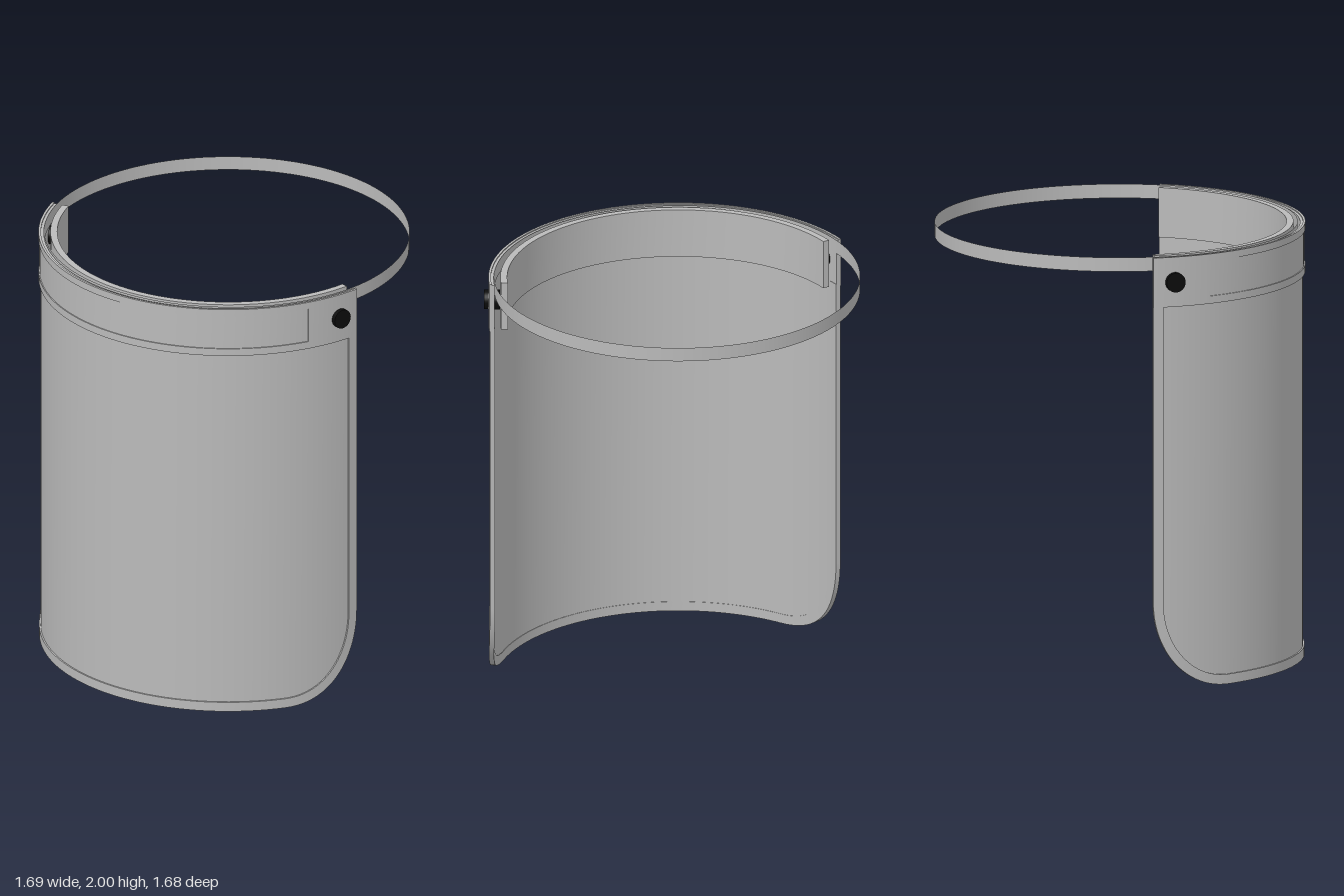
import * as THREE from 'three';

const CZ = -0.02;        // centre of curvature of the visor
const R = 0.85;          // outer radius of the visor sheet
const angleAt = (z, r = R) => Math.acos((z - CZ) / r);
const END = angleAt(0.165);

// Solid strip bent round the vertical axis; each pair is [angleA, yA, angleB, yB]
// for its lower and upper edges.
function bentStrip(pairs, rIn, rOut) {
  const pos = [], index = [];
  const at = (a, y, r) => [r * Math.sin(a), y, CZ + r * Math.cos(a)];
  const rows = pairs.map(([a, ya, b, yb]) => ({
    ai: at(a, ya, rIn), ao: at(a, ya, rOut), bi: at(b, yb, rIn), bo: at(b, yb, rOut),
  }));
  const ribbon = (low, high) => {
    const base = pos.length / 3;
    rows.forEach((row) => pos.push(...row[low], ...row[high]));
    for (let i = 0; i < rows.length - 1; i++) {
      const k = base + i * 2;
      index.push(k, k + 2, k + 3, k, k + 3, k + 1);
    }
  };
  const cap = (row, keys) => {
    const k = pos.length / 3;
    keys.forEach((key) => pos.push(...row[key]));
    index.push(k, k + 1, k + 2, k, k + 2, k + 3);
  };
  ribbon('ao', 'bo');
  ribbon('bi', 'ai');
  ribbon('ai', 'ao');
  ribbon('bo', 'bi');
  cap(rows[0], ['ai', 'ao', 'bo', 'bi']);
  cap(rows[rows.length - 1], ['ao', 'ai', 'bi', 'bo']);
  const geo = new THREE.BufferGeometry();
  geo.setAttribute('position', new THREE.Float32BufferAttribute(pos, 3));
  geo.setIndex(index);
  geo.computeVertexNormals();
  return geo;
}

// Plain curved wall between two angles and two heights
function wall(a0, a1, y0, y1, rIn, rOut, n = 64) {
  const pairs = [];
  for (let i = 0; i <= n; i++) {
    const a = a0 + (a1 - a0) * i / n;
    pairs.push([a, y0, a, y1]);
  }
  return bentStrip(pairs, rIn, rOut);
}

// Lower outline of the visor with rounded corners, paired with an inset copy
function outline(inset) {
  const left = [], bottom = [];
  const corner = 24, flat = 48;
  for (let i = 0; i <= corner; i++) {
    const t = (i / corner) * Math.PI / 2, c = Math.cos(t), s = Math.sin(t);
    left.push([
      -angleAt(0.5 - 0.335 * c), 0.4 - 0.4 * s,
      -angleAt(0.5 - (0.335 - inset) * c), 0.4 - (0.4 - inset) * s,
    ]);
  }
  const a = angleAt(0.5);
  for (let i = 1; i < flat; i++) {
    const b = -a + 2 * a * i / flat;
    bottom.push([b, 0, b, inset]);
  }
  const right = left.map(([p, y, q, v]) => [-p, y, -q, v]).reverse();
  return [...left, ...bottom, ...right];
}

export function createModel() {
  const model = new THREE.Group();
  const grey = new THREE.MeshStandardMaterial({ color: 0xbababa, side: THREE.DoubleSide });
  grey.name = 'grey plastic';
  const black = new THREE.MeshStandardMaterial({ color: 0x0c0c0c });
  black.name = 'black fastener';
  const add = (name, geo, mat = grey, parent = model) => {
    const mesh = new THREE.Mesh(geo, mat);
    mesh.name = name;
    parent.add(mesh);
    return mesh;
  };

  // Curved visor sheet
  add('visor', bentStrip(outline(0).map(([a, y]) => [a, y, a, 1.995]), 0.836, R));

  // Raised rim along the sides and bottom
  const edge = outline(0.045);
  const first = edge[0], last = edge[edge.length - 1];
  const rim = [[first[0], 1.78, first[2], 1.78], ...edge, [last[0], 1.78, last[2], 1.78]];
  add('visorRim', bentStrip(rim, 0.834, 0.857));

  // Front band: a thin base framed by raised rails round a recessed panel
  const band = new THREE.Group();
  band.name = 'frontBand';
  model.add(band);
  const panel = 1.04;
  add('bandBase', wall(-END, END, 1.77, 2, 0.849, 0.855), grey, band);
  add('bandTopRail', wall(-panel, panel, 1.967, 2, 0.85, 0.86), grey, band);
  add('bandBottomRail', wall(-panel, panel, 1.77, 1.805, 0.85, 0.86), grey, band);
  for (const s of [-1, 1]) {
    const [a, b] = s < 0 ? [-END, -panel] : [panel, END];
    add(s < 0 ? 'bandRightEnd' : 'bandLeftEnd', wall(a, b, 1.77, 2, 0.85, 0.86, 12), grey, band);
  }

  // Forehead pad inside the visor
  const padEnd = angleAt(0.165, 0.79);
  add('foreheadPad', wall(-padEnd, padEnd, 1.77, 2, 0.775, 0.806));

  // Thin head strap, slightly flatter in front where it runs behind the visor
  const strap = new THREE.CylinderGeometry(0.83, 0.83, 0.065, 128, 1, true);
  const p = strap.attributes.position;
  for (let i = 0; i < p.count; i++) {
    const z = p.getZ(i);
    p.setZ(i, z * (z > 0 ? 0.805 : 0.84) / 0.83);
  }
  strap.translate(0, 1.9675, 0);
  add('headStrap', strap);

  // Round fasteners through both ends of the band
  const boltAngle = 1.235;
  for (const s of [-1, 1]) {
    const geo = new THREE.CylinderGeometry(0.045, 0.045, 0.072, 32);
    geo.rotateZ(-Math.PI / 2);
    const bolt = add(s < 0 ? 'rightFastener' : 'leftFastener', geo, black);
    const a = s * boltAngle;
    bolt.rotation.y = a - Math.PI / 2;
    bolt.position.set(0.844 * Math.sin(a), 1.885, CZ + 0.844 * Math.cos(a));
  }
  return model;
}
